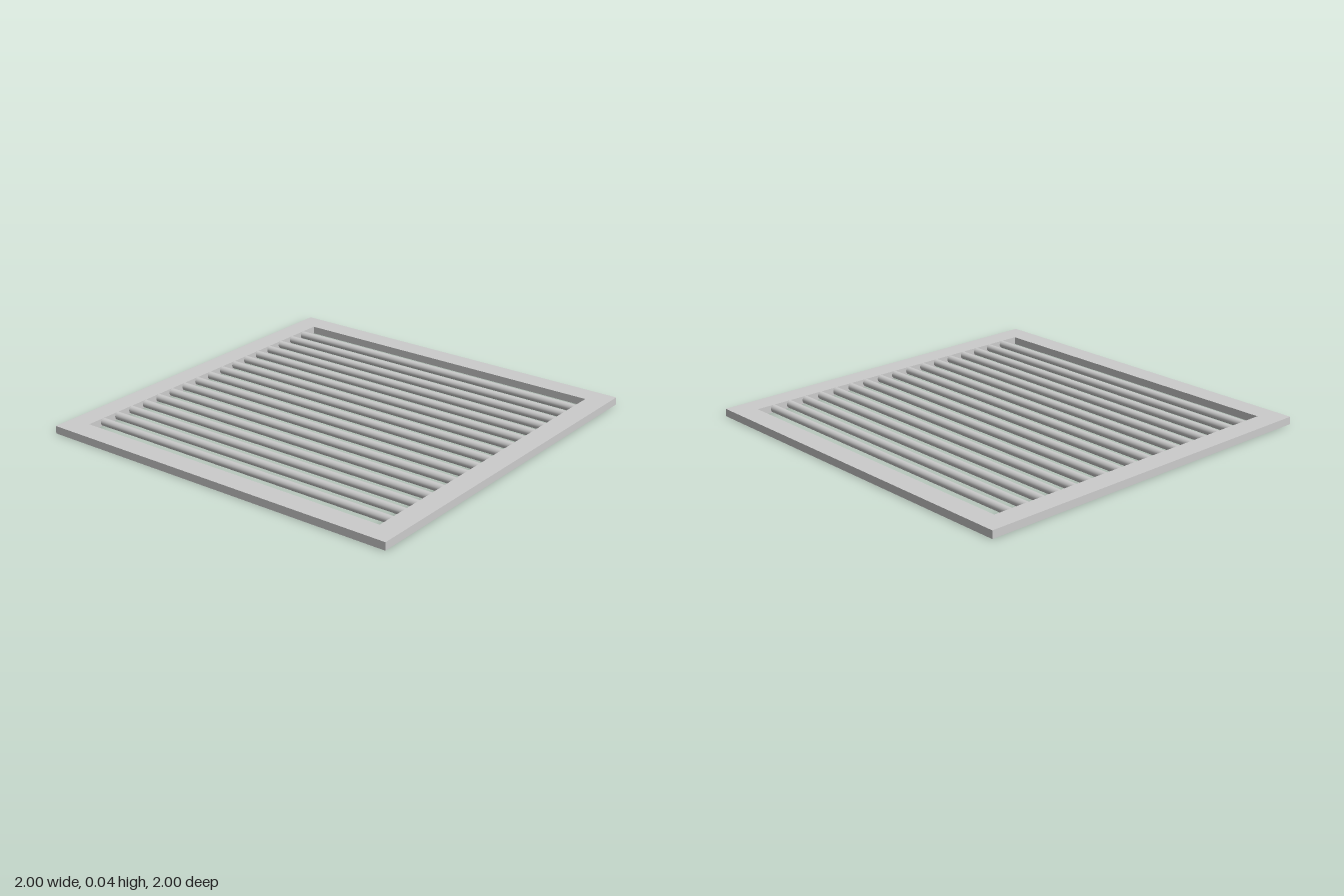
import * as THREE from 'three';

export function createModel() {
  const group = new THREE.Group();
  const material = new THREE.MeshStandardMaterial({ color: 0xcccccc });
  const height = 0.04, inner = 0.885, barCount = 17;

  const square = (path, h) =>
    path.moveTo(-h, -h).lineTo(h, -h).lineTo(h, h).lineTo(-h, h).closePath();

  // Flat square frame with one square opening
  const outline = square(new THREE.Shape(), 1);
  outline.holes.push(square(new THREE.Path(), inner));
  const frameGeometry = new THREE.ExtrudeGeometry(outline, { depth: height, bevelEnabled: false });
  frameGeometry.rotateX(-Math.PI / 2);
  const frame = new THREE.Mesh(frameGeometry, material);
  frame.name = 'frame';
  group.add(frame);

  // Evenly spaced round bars running left to right across the opening
  const barGeometry = new THREE.CylinderGeometry(height / 2, height / 2, inner * 2, 24);
  barGeometry.rotateZ(Math.PI / 2);
  const pitch = (inner * 2) / (barCount + 1);
  for (let i = 1; i <= barCount; i++) {
    const bar = new THREE.Mesh(barGeometry, material);
    bar.name = `bar${i}`;
    bar.position.set(0, height / 2, -inner + i * pitch);
    group.add(bar);
  }
  return group;
}
